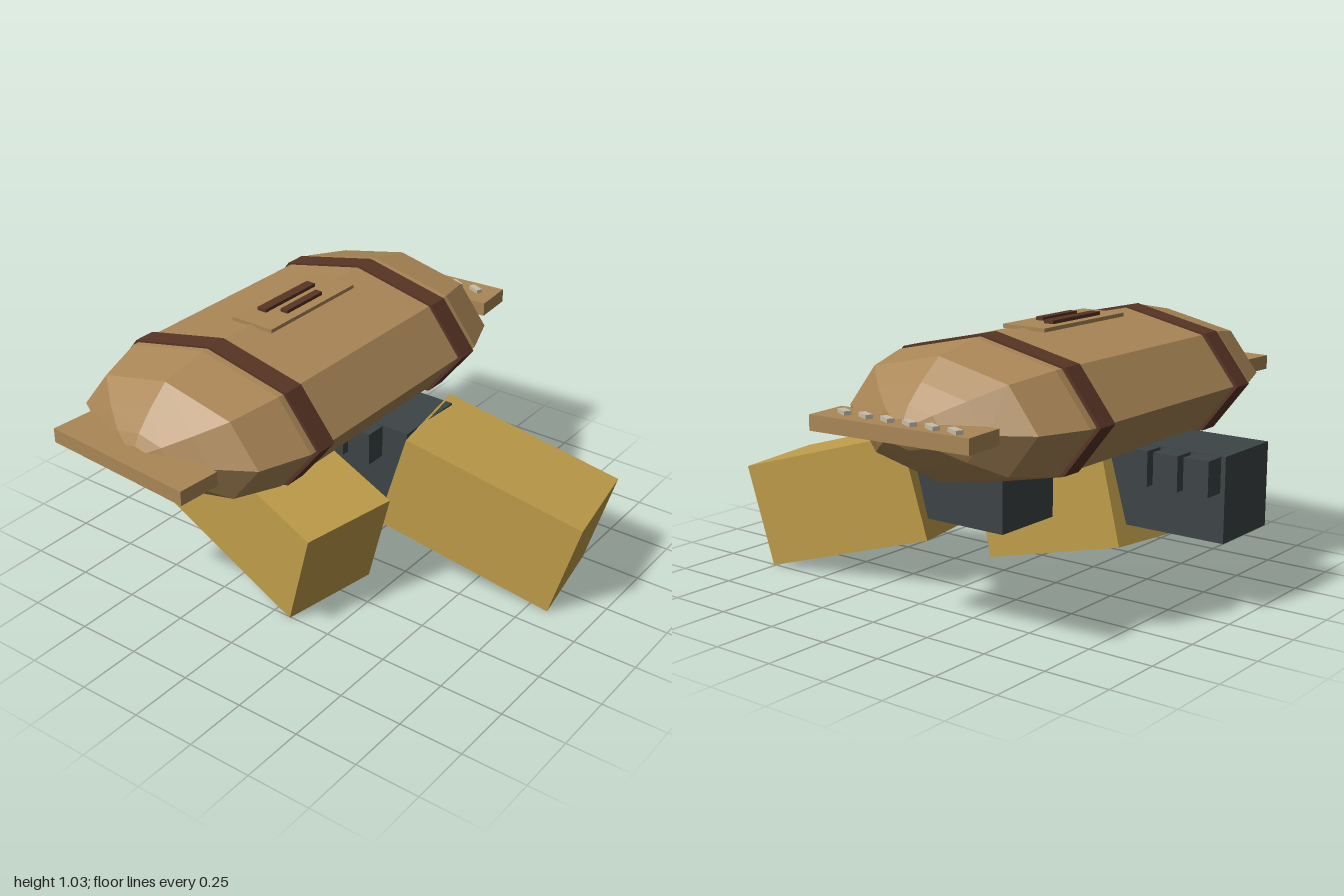
import * as THREE from 'three';

const mat = (name, color) => {
  const m = new THREE.MeshStandardMaterial({ color, flatShading: true });
  m.name = name;
  return m;
};

export function createModel() {
  const group = new THREE.Group();
  const tan = mat('tan', 0xab8757);
  const brown = mat('dark brown', 0x583525);
  const gold = mat('gold', 0xbf9d4a);
  const slate = mat('slate', 0x3d4446);
  const ivory = mat('ivory', 0xc6bda8);

  const add = (name, geometry, material, x, y, z) => {
    const mesh = new THREE.Mesh(geometry, material);
    mesh.name = name;
    mesh.position.set(x, y, z);
    group.add(mesh);
    return mesh;
  };
  const box = (name, material, w, h, d, x, y, z) =>
    add(name, new THREE.BoxGeometry(w, h, d), material, x, y, z);

  const CY = 0.758, CZ = -0.278;

  // Eight-sided barrel body lying along x: [position, relative radius]
  const profile = [
    [-0.89, 0], [-0.883, 0.14], [-0.86, 0.3], [-0.8, 0.56], [-0.715, 0.85], [-0.52, 1],
    [0.52, 1], [0.705, 0.85], [0.795, 0.56], [0.86, 0.3], [0.883, 0.14], [0.89, 0],
  ].map(([x, r]) => new THREE.Vector2(r, x));
  const body = new THREE.LatheGeometry(profile, 8);
  body.rotateZ(-Math.PI / 2);
  body.scale(1, 0.253, 0.481);
  add('body', body, tan, 0, CY, CZ);

  // Straps around the body
  for (const x of [-0.45, 0.443]) {
    const strap = new THREE.CylinderGeometry(1, 1, 0.086, 8);
    strap.rotateZ(-Math.PI / 2);
    strap.scale(1, 0.261, 0.497);
    add('strap', strap, brown, x, CY, CZ);
  }

  // Top plate with two slats
  box('topPlate', tan, 0.495, 0.014, 0.185, -0.002, 1.01, CZ);
  box('longSlat', brown, 0.295, 0.02, 0.04, -0.002, 1.02, -0.314);
  box('shortSlat', brown, 0.21, 0.02, 0.032, -0.004, 1.02, -0.241);

  // Side boards, slightly splayed
  for (const s of [1, -1]) {
    const board = box('sideBoard', tan, 0.168, 0.055, 0.642, s * 0.891, 0.758, CZ);
    board.rotation.y = s * 0.075;
  }

  // Row of teeth on the left board
  for (let i = 0; i < 6; i++) {
    const tooth = box('tooth', ivory, 0.026, 0.016, 0.058, 0.92, 0.792, -0.525 + i * 0.095);
    tooth.rotation.y = -0.42;
  }

  // Forearms with gloved hands; the right one sits further back
  for (const [s, dz] of [[1, 0], [-1, -0.68]]) {
    const arm = box('forearm', gold, 0.41, 0.405, 0.733, s * 0.252, 0.295, 0.499 + dz);
    arm.rotation.order = 'YXZ';
    arm.rotation.set(0.276, s * 0.174, 0);
    box('hand', slate, 0.305, 0.315, 0.48, s * 0.193, 0.43, -0.022 + dz);
    for (let i = 0; i < 3; i++) {
      box('finger', slate, 0.1, 0.13, 0.1, s * 0.005, 0.52, -0.194 + i * 0.124 + dz);
    }
  }

  return group;
}
